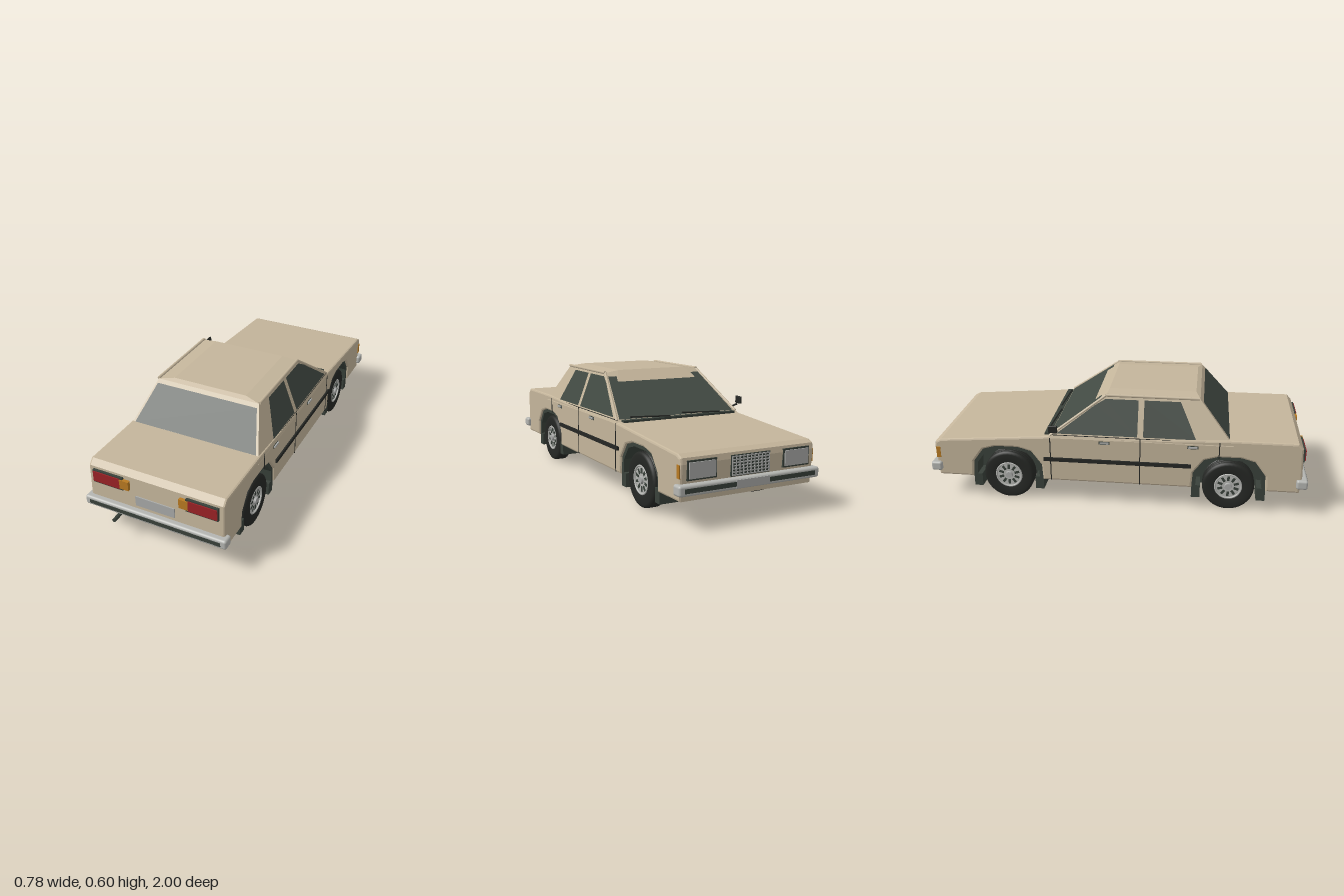
import * as THREE from 'three';
import { RoundedBoxGeometry } from 'three/addons/geometries/RoundedBoxGeometry.js';
import { ConvexGeometry } from 'three/addons/geometries/ConvexGeometry.js';

const paint = (name, color) => {
  const m = new THREE.MeshStandardMaterial({ color });
  m.name = name;
  return m;
};

export function createModel() {
  const tan = paint('tan paint', 0xc4b59b), trim = paint('dark trim', 0x39413a);
  const glass = paint('tinted glass', 0x424a43), rubber = paint('rubber', 0x252724);
  const chrome = paint('chrome', 0xb4b5b1), red = paint('tail red', 0x9b2226);
  const amber = paint('amber', 0xb87a22), pale = paint('pale grey', 0xa9aaa8);
  glass.side = THREE.DoubleSide;

  const car = new THREE.Group();
  car.name = 'sedan';
  car.position.x = 0.008;

  const add = (name, geo, mat, x = 0, y = 0, z = 0, parent = car) => {
    const m = new THREE.Mesh(geo, mat);
    m.name = name;
    m.position.set(x, y, z);
    parent.add(m);
    return m;
  };
  const box = (name, mat, w, h, d, x, y, z, parent) =>
    add(name, new THREE.BoxGeometry(w, h, d), mat, x, y, z, parent);
  const rod = (name, mat, a, b, r) => {
    const p = new THREE.Vector3(...a), q = new THREE.Vector3(...b);
    const m = add(name, new THREE.CylinderGeometry(r, r, p.distanceTo(q), 10), mat);
    m.position.copy(p).lerp(q, 0.5);
    m.quaternion.setFromUnitVectors(new THREE.Vector3(0, 1, 0), q.sub(p).normalize());
    return m;
  };
  // Flat convex pane from corner points
  const pane = (name, mat, pts) => {
    const g = new THREE.BufferGeometry();
    g.setAttribute('position', new THREE.Float32BufferAttribute(pts.flat(), 3));
    const idx = [];
    for (let i = 1; i < pts.length - 1; i++) idx.push(0, i, i + 1);
    g.setIndex(idx);
    g.computeVertexNormals();
    return add(name, g, mat);
  };
  // Side outline given as [z, y], extruded across the width
  const slab = (pts, width, bevel = 0) => {
    const s = new THREE.Shape(pts.map(p => new THREE.Vector2(...p)));
    const g = new THREE.ExtrudeGeometry(s, {
      depth: width - 2 * bevel, bevelEnabled: bevel > 0, bevelSize: bevel,
      bevelThickness: bevel, bevelOffset: -bevel, bevelSegments: 2,
    });
    return g.translate(0, 0, bevel - width / 2).rotateY(-Math.PI / 2);
  };

  // Lower body with wheel arches cut out
  const axles = [-0.585, 0.58];
  const arch = [[-0.19, 0.125], [-0.185, 0.21], [-0.13, 0.285], [-0.06, 0.305],
    [0.06, 0.305], [0.13, 0.285], [0.185, 0.21], [0.19, 0.125]];
  const archAt = z => arch.map(([a, y]) => [a + z, y]);
  add('body', slab([
    [-0.962, 0.125], ...archAt(axles[0]), ...archAt(axles[1]), [0.94, 0.125],
    [0.95, 0.2], [0.943, 0.372], [0.918, 0.4], [0.56, 0.4], [0.3, 0.39],
    [-0.33, 0.378], [-0.94, 0.332], [-0.97, 0.318], [-0.976, 0.29],
  ], 0.722, 0.01), tan);

  // Cabin
  const sideX = y => THREE.MathUtils.mapLinear(y, 0.39, 0.588, 0.355, 0.28);
  const cabin = [];
  for (const s of [-1, 1]) {
    for (const [x, y, z] of [[sideX(0.37), 0.37, 0.597], [sideX(0.37), 0.37, -0.365],
      [0.28, 0.588, 0.418], [0.28, 0.588, -0.065], [0.2, 0.6, 0.395], [0.2, 0.6, -0.055]])
      cabin.push(new THREE.Vector3(s * x, y, z));
  }
  add('cabin', new ConvexGeometry(cabin), tan);

  // Front and rear screens lie just outside the sloped cabin faces
  const rearZ = y => THREE.MathUtils.mapLinear(y, 0.37, 0.588, 0.597, 0.418) + 0.004;
  const frontZ = y => THREE.MathUtils.mapLinear(y, 0.37, 0.588, -0.365, -0.065) - 0.005;
  for (const [name, zAt, lo] of [['rearWindow', rearZ, 0.402], ['windscreen', frontZ, 0.386]])
    pane(name, glass, [[-0.338, lo, zAt(lo)], [0.338, lo, zAt(lo)],
      [0.277, 0.572, zAt(0.572)], [-0.277, 0.572, zAt(0.572)]]);
  box('cowl', trim, 0.66, 0.012, 0.03, 0, 0.379, -0.368);
  for (const x of [-0.24, 0.06])
    rod('wiper', rubber, [x, 0.388, -0.368], [x + 0.22, 0.396, -0.353], 0.004);

  for (const s of [-1, 1]) {
    // Side glass, gutters and pillars
    const side = pts => pts.map(([z, y]) => [s * (sideX(y) + 0.003), y, z]);
    pane('rearSideWindow', glass, side([[0.405, 0.395], [0.32, 0.572], [0.135, 0.572], [0.135, 0.395]]));
    pane('frontSideWindow', glass, side([[0.105, 0.395], [0.105, 0.572], [-0.065, 0.572],
      [-0.12, 0.54], [-0.315, 0.395]]));
    rod('roofGutter', tan, [s * 0.282, 0.59, 0.415], [s * 0.282, 0.59, -0.065], 0.008);
    rod('windscreenPillar', tan, [s * 0.281, 0.588, -0.066], [s * 0.354, 0.383, -0.35], 0.007);

    // Door seams, handles and moulding
    for (const [z, lo, hi] of [[-0.35, 0.128, 0.37], [0.12, 0.128, 0.385], [0.525, 0.3, 0.388]])
      box('doorSeam', rubber, 0.004, hi - lo, 0.005, s * 0.361, (lo + hi) / 2, z);
    box('beltSeam', rubber, 0.004, 0.004, 0.87, s * 0.355, 0.386, 0.09);
    box('sideMoulding', rubber, 0.012, 0.02, 0.77, s * 0.364, 0.25, 0);
    for (const z of [-0.065, 0.39]) {
      box('handleRecess', trim, 0.006, 0.017, 0.056, s * 0.36, 0.355, z);
      box('doorHandle', pale, 0.012, 0.009, 0.046, s * 0.364, 0.356, z);
    }

    // Lamps
    box('tailLampHousing', trim, 0.165, 0.07, 0.024, s * 0.251, 0.325, 0.944);
    box('tailLampRed', red, 0.147, 0.056, 0.008, s * 0.256, 0.326, 0.957);
    box('tailLampAmber', amber, 0.05, 0.049, 0.022, s * 0.159, 0.326, 0.95);
    box('headLampFrame', trim, 0.15, 0.088, 0.02, s * 0.255, 0.262, -0.969);
    box('headLamp', pale, 0.134, 0.072, 0.008, s * 0.255, 0.262, -0.981);
    box('sideMarker', amber, 0.008, 0.06, 0.022, s * 0.36, 0.258, -0.957);
  }

  // Grille
  box('grille', trim, 0.21, 0.096, 0.02, 0, 0.258, -0.969);
  for (let i = 0; i < 7; i++)
    box('grilleBar', pale, 0.2, 0.005, 0.006, 0, 0.216 + i * 0.014, -0.98);
  for (let i = 0; i < 11; i++)
    box('grilleSlat', pale, 0.004, 0.088, 0.006, -0.1 + i * 0.02, 0.258, -0.98);

  // Bumpers, number plates and exhaust
  for (const [d, z] of [[1, 0.95], [-1, -0.97]]) {
    add('bumper', new RoundedBoxGeometry(0.762, 0.05, 0.058, 3, 0.012), chrome, 0, 0.18, z);
    box('bumperStrip', trim, 0.706, 0.021, 0.006, 0, 0.18, z + d * 0.028);
  }
  box('rearPlate', pale, 0.21, 0.053, 0.008, 0, 0.249, 0.949);
  box('frontPlate', pale, 0.18, 0.036, 0.004, 0, 0.18, -1.0);
  rod('exhaust', trim, [-0.208, 0.126, 0.8], [-0.208, 0.126, 1.0], 0.01);

  // Door mirror, on one side only
  rod('mirrorArm', rubber, [-0.345, 0.398, -0.32], [-0.385, 0.412, -0.325], 0.005);
  add('mirror', new RoundedBoxGeometry(0.012, 0.04, 0.048, 2, 0.005), rubber, -0.394, 0.434, -0.325);

  // Underbody and wheel wells
  box('underbody', trim, 0.58, 0.05, 0.78, 0, 0.125, -0.003);
  box('underbodySpine', trim, 0.5, 0.05, 1.66, 0, 0.126, 0.01);
  for (const z of [-0.8, 0.805]) box('underbodyEnd', trim, 0.58, 0.04, 0.07, 0, 0.12, z);
  const liner = [...arch, ...arch.map(([a, y]) => [a * 0.9, 0.125 + (y - 0.125) * 0.9]).reverse()];
  for (const z of axles) {
    add('wheelWell', slab(archAt(z).map(([a, y]) => [a, y - 0.003]), 0.5), trim, 0, 0, 0);
    for (const s of [-1, 1]) {
      add('archLiner', slab(liner, 0.13), trim, s * 0.284, 0, z);
      for (const d of [-1, 1])
        box('mudFlap', trim, 0.13, 0.07, 0.045, s * 0.284, 0.1, z + d * 0.168);
    }
  }

  // Wheels: ribbed tyre, rim with ten slots and a hub
  const tyreProfile = [[0.06, -0.036], [0.118, -0.038], [0.13, -0.034], [0.135, -0.026]];
  for (const y of [-0.018, 0, 0.018])
    tyreProfile.push([0.135, y - 0.003], [0.129, y - 0.002], [0.129, y + 0.002], [0.135, y + 0.003]);
  tyreProfile.push([0.135, 0.026], [0.13, 0.034], [0.118, 0.038], [0.075, 0.038], [0.068, 0.028]);
  const tyreGeo = new THREE.LatheGeometry(tyreProfile.map(p => new THREE.Vector2(...p)), 36);
  const rimGeo = new THREE.CylinderGeometry(0.07, 0.07, 0.06, 32);
  const lipGeo = new THREE.TorusGeometry(0.068, 0.005, 8, 32).rotateX(Math.PI / 2);
  const hubGeo = new THREE.CylinderGeometry(0.017, 0.02, 0.012, 16);
  for (const z of axles) for (const s of [-1, 1]) {
    const wheel = new THREE.Group();
    wheel.name = 'wheel';
    wheel.position.set(s * 0.308, 0.135, z);
    wheel.rotation.z = -s * Math.PI / 2;
    car.add(wheel);
    add('tyre', tyreGeo, rubber, 0, 0, 0, wheel);
    add('rim', rimGeo, chrome, 0, 0.001, 0, wheel);
    add('rimLip', lipGeo, chrome, 0, 0.034, 0, wheel);
    add('hub', hubGeo, pale, 0, 0.036, 0, wheel);
    for (let i = 0; i < 10; i++) {
      const a = i * Math.PI / 5;
      const slot = box('rimSlot', trim, 0.026, 0.004, 0.013,
        Math.cos(a) * 0.044, 0.031, Math.sin(a) * 0.044, wheel);
      slot.rotation.y = -a;
    }
  }

  const model = new THREE.Group();
  model.name = 'model';
  model.add(car);
  return model;
}
